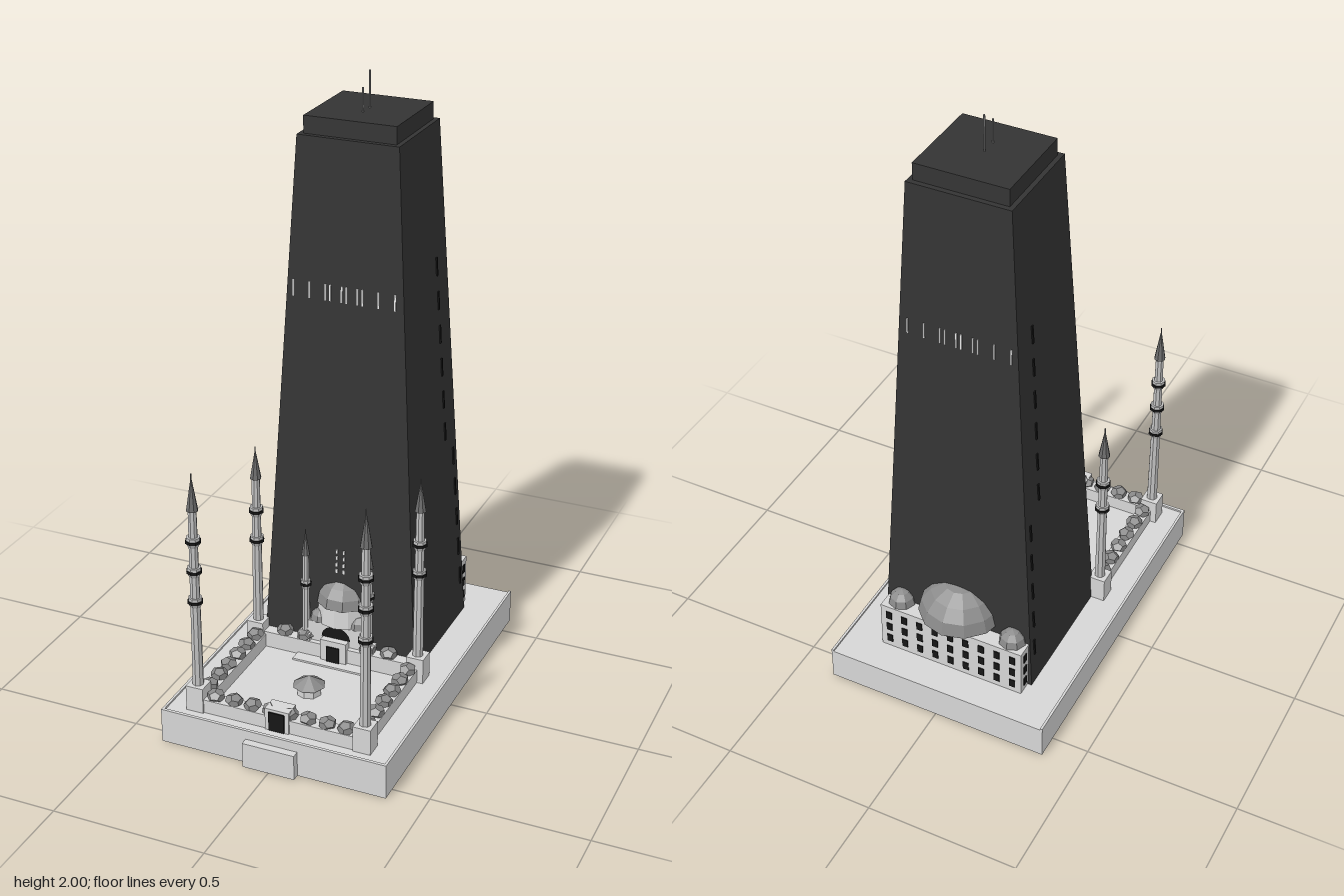
import * as THREE from 'three';

export function createModel() {
  const root = new THREE.Group();
  const mat = (name, color, extra = {}) => new THREE.MeshStandardMaterial({ name, color, ...extra });
  const stone = mat('pale stone', 0xd6d6d6);
  const shaft = mat('minaret stone', 0xc2c2c2);
  const lead = mat('lead grey', 0x8a8a8a, { side: THREE.DoubleSide });
  const roof = mat('spire grey', 0x6c6c6c);
  const facade = mat('tower charcoal', 0x343434);
  const black = mat('opening black', 0x161616);
  const light = mat('lit slit', 0xeeeeee);

  const flat = (g) => {
    const f = g.index ? g.toNonIndexed() : g;
    f.computeVertexNormals();
    return f;
  };
  const add = (name, geo, m, x, y, z, parent = root) => {
    const mesh = new THREE.Mesh(geo, m);
    mesh.name = name;
    mesh.position.set(x, y, z);
    parent.add(mesh);
    return mesh;
  };
  // box given by its extents
  const block = (name, m, x0, x1, y0, y1, z0, z1, parent = root) =>
    add(name, new THREE.BoxGeometry(x1 - x0, y1 - y0, z1 - z0), m,
      (x0 + x1) / 2, (y0 + y1) / 2, (z0 + z1) / 2, parent);
  // upright faceted cylinder standing on y
  const drum = (name, m, rt, rb, h, x, y, z, n = 8, parent = root) =>
    add(name, flat(new THREE.CylinderGeometry(rt, rb, h, n)), m, x, y + h / 2, z, parent);
  const dome = (name, r, h, x, y, z, n = 10, rings = 4) => {
    const g = new THREE.SphereGeometry(1, n, rings, 0, Math.PI * 2, 0, Math.PI / 2);
    g.scale(r, h, r);
    return add(name, flat(g), lead, x, y, z);
  };

  // plinth and entrance steps
  block('plinth', stone, -0.378, 0.378, 0, 0.11, -0.576, 0.55);
  block('plinthKerb', stone, -0.378, 0.378, 0.11, 0.116, 0.54, 0.55);
  for (const s of [-1, 1]) block('sideKerb', stone, s * 0.374 - 0.004, s * 0.374 + 0.004, 0.11, 0.116, -0.576, 0.55);
  block('lowerStep', stone, -0.087, 0.087, 0, 0.085, 0.55, 0.575);

  // tapered tower
  const Y0 = 0.11, Y1 = 1.83, CZ = -0.191;
  const halfAt = (y) => {
    const t = (y - Y0) / (Y1 - Y0);
    return [0.264 - 0.1 * t, 0.229 - 0.067 * t];
  };
  const towerGeo = new THREE.BoxGeometry(2, Y1 - Y0, 2);
  const p = towerGeo.attributes.position;
  for (let i = 0; i < p.count; i++) {
    const [hx, hz] = halfAt(p.getY(i) > 0 ? Y1 : Y0);
    p.setXYZ(i, p.getX(i) * hx, p.getY(i), p.getZ(i) * hz);
  }
  towerGeo.computeVertexNormals();
  add('tower', towerGeo, facade, 0, (Y0 + Y1) / 2, CZ);
  block('towerCap', facade, -0.149, 0.149, Y1, 1.885, CZ - 0.146, CZ + 0.146);
  for (const [z, top] of [[-0.145, 1.96], [-0.196, 2]])
    drum('antenna', lead, 0.003, 0.003, top - 1.885, 0, 1.885, z, 6);

  // lit slits on front and back
  const slitX = [-0.17, -0.116, -0.063, -0.048, -0.01, 0.006, 0.042, 0.058, 0.11, 0.164];
  const tilt = Math.atan(0.067 / (Y1 - Y0));
  for (const s of [-1, 1]) for (const x of slitX) {
    const m = add('litSlit', new THREE.BoxGeometry(0.005, 0.052, 0.006), light,
      x, 1.353, CZ + s * halfAt(1.353)[1]);
    m.rotation.x = -s * tilt;
  }
  for (let i = 0; i < 4; i++) for (const s of [-1, 1])
    add('smallLight', new THREE.BoxGeometry(0.007, 0.013, 0.008), light,
      s * 0.012, 0.42 + i * 0.023, CZ + halfAt(0.45)[1]);

  // dark slits along the side faces
  const lean = Math.atan(0.1 / (Y1 - Y0));
  for (const s of [-1, 1]) for (let i = 0; i < 11; i++) {
    const y = 0.25 + i * 0.113;
    const z = y > 0.8 ? -0.3 + (y - 0.83) * 0.034 : -0.39 + (y - 0.2) * 0.05;
    const m = add('sideSlit', new THREE.BoxGeometry(0.008, 0.06, 0.008), black, s * halfAt(y)[0], y, z);
    m.rotation.z = s * lean;
  }

  // courtyard arcades
  for (const s of [-1, 1])
    block('sideArcade', stone, s * 0.267 - 0.023, s * 0.267 + 0.023, 0.11, 0.156, 0.05, 0.48);
  block('frontArcade', stone, -0.28, 0.28, 0.11, 0.156, 0.458, 0.504);
  block('innerArcade', stone, -0.25, 0.25, 0.11, 0.165, 0.02, 0.075);
  block('innerStep', stone, -0.13, 0.13, 0.11, 0.116, 0.075, 0.116);

  // faceted little domes along the arcades
  let turn = 0;
  const knob = (x, y, z) => {
    const m = add('arcadeDome', new THREE.DodecahedronGeometry(0.029), lead, x, y, z);
    m.scale.y = 0.7;
    m.rotation.y = turn++ * 0.9;
  };
  for (const s of [-1, 1]) {
    for (let i = 0; i < 6; i++) knob(s * 0.267, 0.167, 0.105 + i * 0.065);
    for (let i = 0; i < 4; i++) knob(s * (0.031 + i * 0.063), 0.167, 0.481);
    for (const x of [0.11, 0.182]) knob(s * x, 0.178, 0.057);
  }

  // courtyard gate and fountain
  block('gate', stone, -0.04, 0.04, 0.11, 0.185, 0.455, 0.509);
  for (const z of [0.453, 0.511]) block('gateDoor', black, -0.026, 0.026, 0.112, 0.176, z - 0.003, z + 0.003);
  drum('fountainBase', stone, 0.04, 0.04, 0.03, 0, 0.11, 0.27);
  drum('fountainRoof', lead, 0.004, 0.053, 0.03, 0, 0.14, 0.27);

  // prayer hall front with stepped domes
  block('hallFront', stone, -0.1, 0.1, 0.11, 0.235, -0.02, 0.058);
  block('portal', stone, -0.045, 0.045, 0.11, 0.19, 0.05, 0.085);
  block('portalDoor', black, -0.022, 0.022, 0.112, 0.17, 0.084, 0.09);
  const arch = add('portalArch', new THREE.CircleGeometry(0.05, 12, 0, Math.PI), black, 0, 0.19, 0.062);
  arch.scale.y = 0.85;
  drum('hallDrum', stone, 0.085, 0.09, 0.07, 0, 0.235, -0.012, 12);
  dome('hallDome', 0.092, 0.09, 0, 0.3, -0.012);
  for (const s of [-1, 1]) dome('hallHalfDome', 0.04, 0.04, s * 0.065, 0.235, 0.025, 8, 3);

  // minarets
  const minaret = (x, z, base, coneY, tip, r, rings) => {
    const g = new THREE.Group();
    g.name = 'minaret';
    g.position.set(x, 0, z);
    root.add(g);
    const bw = r * 1.45;
    block('minaretBase', stone, -bw, bw, 0.11, base, -bw, bw, g);
    const low = rings[0];
    drum('lowerShaft', shaft, r * 0.8, r * 0.9, low - base, 0, base, 0, 8, g);
    drum('upperShaft', shaft, r * 0.68, r * 0.8, coneY - low, 0, low, 0, 8, g);
    for (const y of rings) {
      drum('balconyCorbel', shaft, r * 1.15, r * 0.8, 0.014, 0, y - 0.014, 0, 8, g);
      drum('balcony', black, r * 1.25, r * 1.25, 0.009, 0, y, 0, 8, g);
      drum('balconyRail', shaft, r * 1.1, r * 1.1, 0.01, 0, y + 0.009, 0, 8, g);
    }
    const coneH = (tip - coneY) * 0.85;
    drum('spire', roof, 0.002, r * 0.95, coneH, 0, coneY, 0, 8, g);
    drum('finial', roof, 0.002, 0.002, tip - coneY - coneH, 0, coneY + coneH, 0, 5, g);
  };
  for (const s of [-1, 1]) {
    minaret(s * 0.281, 0.481, 0.196, 0.8, 0.922, 0.02, [0.485, 0.59, 0.692]);
    minaret(s * 0.281, 0.053, 0.196, 0.71, 0.82, 0.02, [0.485, 0.59]);
    minaret(s * 0.11, 0.05, 0.19, 0.47, 0.56, 0.015, [0.36]);
  }

  // rear hall with rows of windows
  block('rearHall', stone, -0.25, 0.25, 0.11, 0.28, -0.468, -0.34);
  for (let row = 0; row < 3; row++) {
    const y = 0.145 + row * 0.05;
    for (let i = 0; i < 9; i++)
      add('rearWindow', new THREE.BoxGeometry(0.02, 0.029, 0.006), black, -0.22 + i * 0.055, y, -0.468);
    for (const s of [-1, 1]) for (const z of [-0.441, -0.4])
      add('endWindow', new THREE.BoxGeometry(0.006, 0.029, 0.018), black, s * 0.25, y, z);
  }
  drum('rearDrum', stone, 0.085, 0.085, 0.03, 0, 0.28, -0.38, 12);
  dome('rearDome', 0.14, 0.118, 0, 0.305, -0.382, 12, 4);
  for (const s of [-1, 1]) dome('rearCornerDome', 0.045, 0.05, s * 0.197, 0.28, -0.42, 8, 3);

  return root;
}
